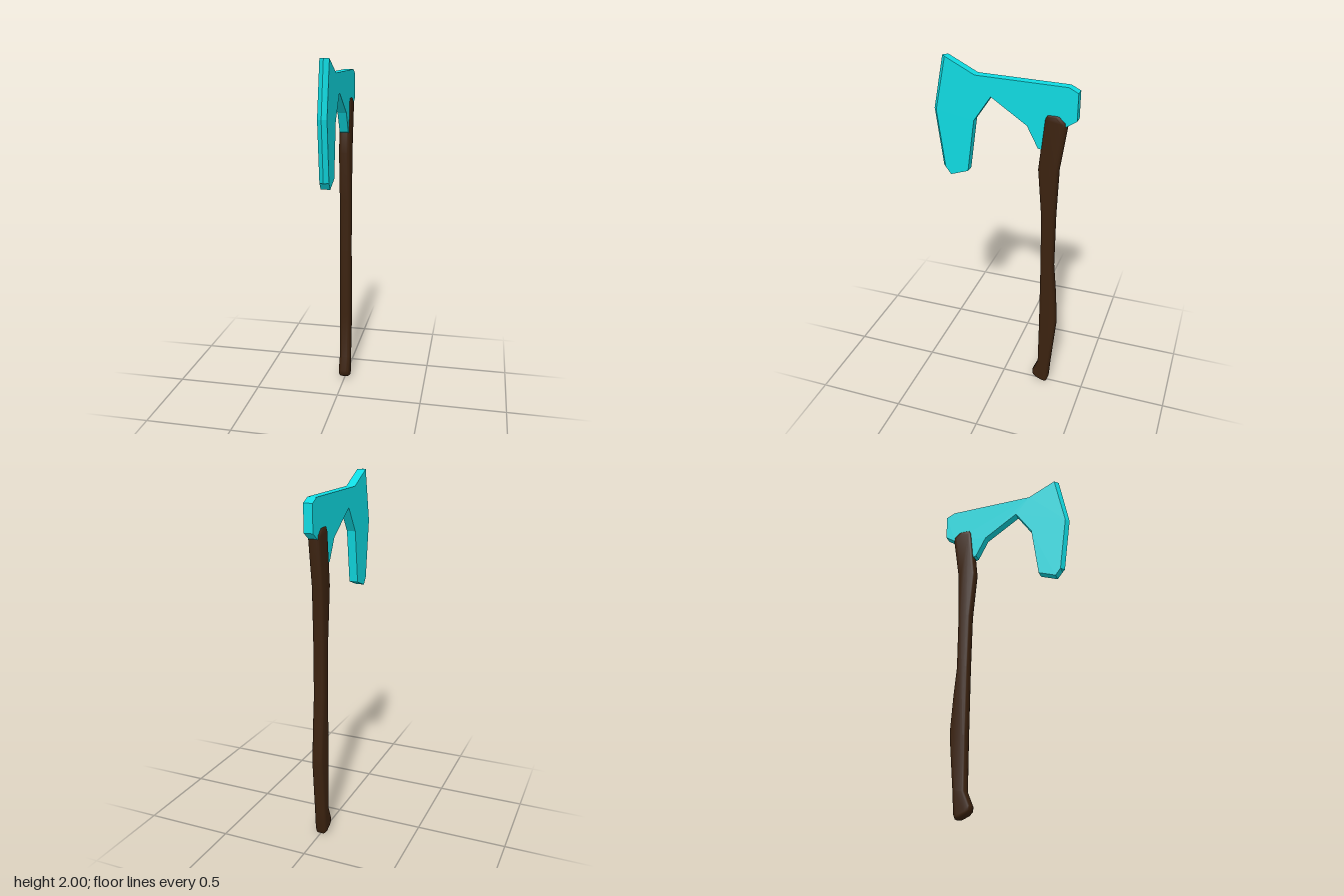
import * as THREE from 'three';
import { toCreasedNormals } from 'three/addons/utils/BufferGeometryUtils.js';

const HALF = 0.025; // half thickness of the head

// Extrude a side profile given as [z, y] points, centred on x = 0
function extrudeSide(points, halfWidth, bevel = 0) {
  const shape = new THREE.Shape(points.map(([z, y]) => new THREE.Vector2(z, y)));
  const depth = 2 * (halfWidth - bevel);
  const geo = new THREE.ExtrudeGeometry(shape, {
    depth, bevelEnabled: bevel > 0, bevelThickness: bevel, bevelSize: bevel,
    bevelOffset: -bevel, bevelSegments: 4,
  });
  return geo.translate(0, 0, -depth / 2).rotateY(-Math.PI / 2);
}

// Sharpened wedge: rows of [shoulder z, tip z, y] from top to bottom
function wedge(rows) {
  const pos = [];
  const ring = ([s, t, y]) => [[-HALF, y, s], [0, y, t], [HALF, y, s]];
  const tri = (a, b, c) => pos.push(...a, ...b, ...c);
  for (let i = 0; i < rows.length - 1; i++) {
    const a = ring(rows[i]), b = ring(rows[i + 1]);
    for (let k = 0; k < 2; k++) {
      tri(a[k], b[k], b[k + 1]);
      tri(a[k], b[k + 1], a[k + 1]);
    }
  }
  const top = ring(rows[0]), bottom = ring(rows[rows.length - 1]);
  tri(top[0], top[1], top[2]);
  tri(bottom[0], bottom[2], bottom[1]);
  const geo = new THREE.BufferGeometry();
  geo.setAttribute('position', new THREE.Float32BufferAttribute(pos, 3));
  geo.computeVertexNormals();
  return geo;
}

export function createModel() {
  const model = new THREE.Group();
  model.name = 'axe';
  const metal = new THREE.MeshStandardMaterial({ color: 0x0fdbe2 });
  const wood = new THREE.MeshStandardMaterial({ color: 0x3b220f });
  const add = (name, geo, mat, parent) => {
    const mesh = new THREE.Mesh(geo, mat);
    mesh.name = name;
    parent.add(mesh);
  };

  // Head: bearded blade, neck and poll in one plate, with a sharpened edge
  const head = new THREE.Group();
  head.name = 'axeHead';
  model.add(head);
  add('blade', extrudeSide([
    [0.31, 2.0], [0.37, 1.71], [0.33, 1.385], [0.3, 1.345], [0.2, 1.38],
    [0.16, 1.675], [0.065, 1.815], [-0.13, 1.685], [-0.19, 1.57], [-0.22, 1.56],
    [-0.33, 1.7], [-0.39, 1.74], [-0.39, 1.885], [-0.34, 1.91], [0.15, 1.92],
  ].reverse(), HALF), metal, head);
  add('cuttingEdge', wedge([
    [0.31, 0.333, 2.0], [0.37, 0.39, 1.71], [0.33, 0.35, 1.385],
  ]), metal, head);

  // Handle: gently curved grip with rounded edges and a flared knob
  const handle = extrudeSide([
    [-0.235, 1.76], [-0.222, 1.735], [-0.193, 1.45], [-0.217, 1.17], [-0.222, 0.85],
    [-0.224, 0.45], [-0.223, 0.15], [-0.19, 0.07], [-0.192, 0.045], [-0.21, 0.025],
    [-0.255, 0.004], [-0.28, 0.006], [-0.289, 0.03], [-0.297, 0.15], [-0.323, 0.45],
    [-0.322, 0.5], [-0.31, 0.68], [-0.294, 0.85], [-0.294, 1.17], [-0.302, 1.45],
    [-0.338, 1.7], [-0.335, 1.725], [-0.3, 1.757], [-0.285, 1.76],
  ], 0.033, 0.02);
  add('handle', toCreasedNormals(handle, 0.7), wood, model);

  return model;
}
